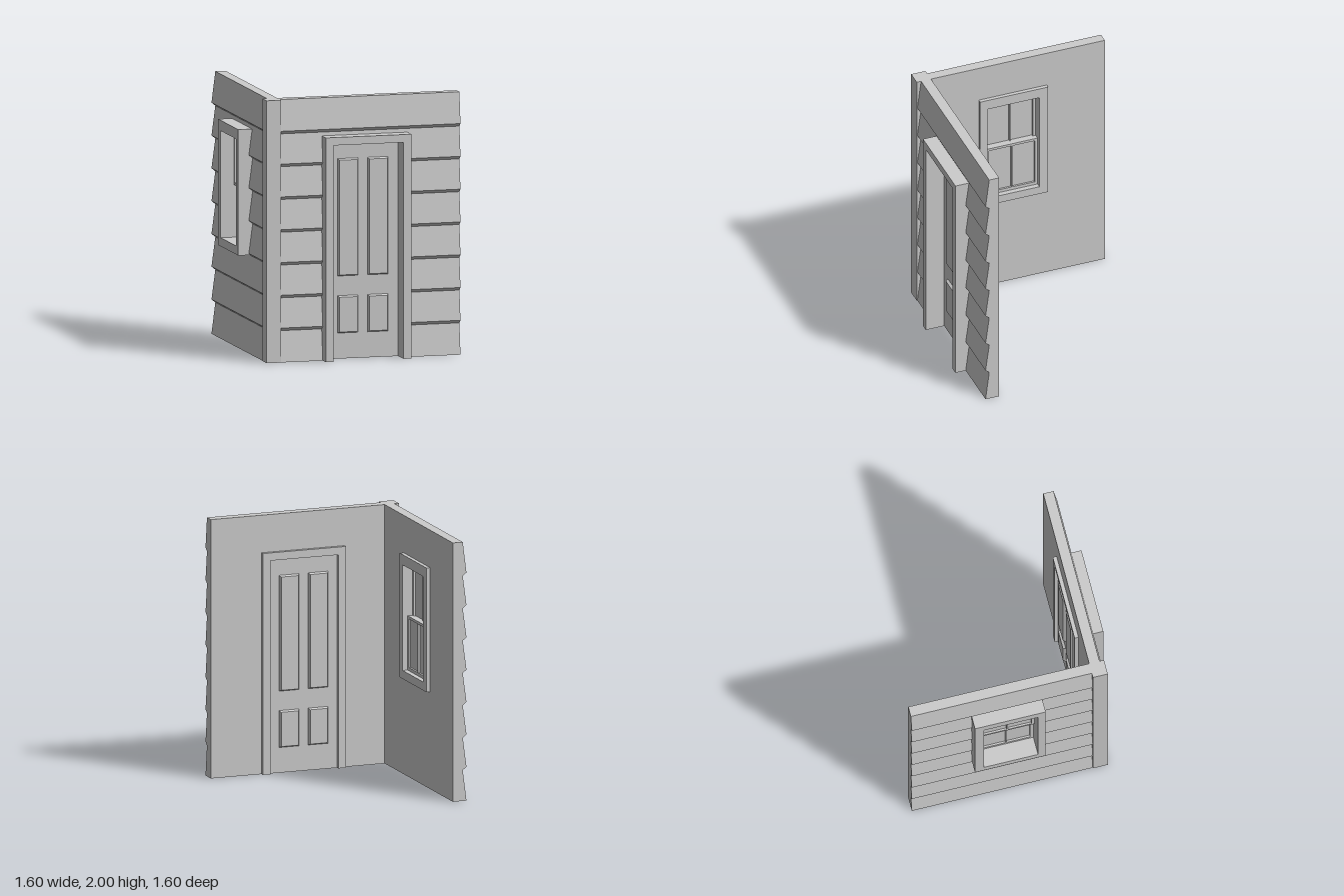
import * as THREE from 'three';

const material = new THREE.MeshStandardMaterial({ color: 0xcccccc });

// Wall space: local x points outward, y is up, u runs along the wall (local z = -u).
function rect(u0, u1, y0, y1, Type = THREE.Shape) {
  const r = new Type();
  r.moveTo(u0, y0);
  r.lineTo(u1, y0);
  r.lineTo(u1, y1);
  r.lineTo(u0, y1);
  r.closePath();
  return r;
}

function addMesh(parent, name, geometry) {
  const mesh = new THREE.Mesh(geometry, material);
  mesh.name = name;
  parent.add(mesh);
  return mesh;
}

// Flat outline in (u, y), given thickness from depth d0 to d1
function plate(parent, name, shape, d0, d1, bevel = 0) {
  const geometry = new THREE.ExtrudeGeometry(shape, {
    depth: d1 - d0, bevelEnabled: bevel > 0, bevelSegments: 1,
    bevelThickness: bevel * 2, bevelSize: bevel, bevelOffset: -bevel,
  });
  geometry.translate(0, 0, d0);
  geometry.rotateY(Math.PI / 2);
  return addMesh(parent, name, geometry);
}

// Clapboard wall section: saw-tooth profile cut to y0..y1, drawn out from u0 to u1
const BOARD = 0.25, LIP = 0.11, TOP = 0.08;
const knots = [[LIP, 0]];
for (let i = 1; i < 8; i++) knots.push([TOP, i * BOARD - 0.012], [LIP, i * BOARD + 0.012]);
knots.push([TOP, 2]);

function depthAt(y) {
  const i = Math.max(1, knots.findIndex((k) => k[1] >= y));
  const [a, b] = [knots[i - 1], knots[i]];
  return a[0] + (b[0] - a[0]) * (y - a[1]) / (b[1] - a[1]);
}

function siding(parent, u0, u1, y0, y1) {
  const points = [[0, y0], [depthAt(y0), y0],
    ...knots.filter((k) => k[1] > y0 && k[1] < y1), [depthAt(y1), y1], [0, y1]];
  const shape = new THREE.Shape(points.map(([d, y]) => new THREE.Vector2(d, y)));
  const geometry = new THREE.ExtrudeGeometry(shape, { depth: u1 - u0, bevelEnabled: false });
  geometry.translate(0, 0, -u1);
  addMesh(parent, 'siding', geometry);
}

function doorWall() {
  const wall = new THREE.Group();
  wall.name = 'doorWall';
  siding(wall, -0.607, -0.25, 0, 1.68);
  siding(wall, 0.36, 0.8, 0, 1.68);
  siding(wall, -0.607, 0.8, 1.68, 2);

  // Door surround, open at the floor
  const outline = [[-0.28, 0], [-0.22, 0], [-0.22, 1.65], [0.33, 1.65],
    [0.33, 0], [0.39, 0], [0.39, 1.71], [-0.28, 1.71]];
  plate(wall, 'doorFrame',
    new THREE.Shape(outline.map(([u, y]) => new THREE.Vector2(u, y))), -0.03, 0.193);

  // Door with panels raised on both faces
  plate(wall, 'door', rect(-0.22, 0.33, 0, 1.65), -0.005, 0.045);
  for (const u of [-0.145, 0.09]) {
    for (const [y0, y1] of [[0.195, 0.48], [0.63, 1.525]]) {
      plate(wall, 'doorPanel', rect(u, u + 0.16, y0, y1), -0.005, 0.045, 0.01);
    }
  }
  wall.rotation.y = -Math.PI / 2;
  wall.position.z = 0.607;
  return wall;
}

function windowWall() {
  const wall = new THREE.Group();
  wall.name = 'windowWall';
  siding(wall, -0.8, -0.3, 0, 2);
  siding(wall, 0.19, 0.607, 0, 2);
  siding(wall, -0.3, 0.19, 0, 0.78);
  siding(wall, -0.3, 0.19, 1.67, 2);

  // Window surround
  const frame = rect(-0.33, 0.22, 0.75, 1.71);
  frame.holes.push(rect(-0.26, 0.16, 0.815, 1.63, THREE.Path));
  plate(wall, 'windowFrame', frame, -0.03, 0.193);

  // Two sashes, the upper one set further out
  for (const [name, y0, y1, p0, p1, d] of [
    ['lowerSash', 0.815, 1.235, 0.84, 1.215, 0.01],
    ['upperSash', 1.215, 1.63, 1.235, 1.605, 0.05]]) {
    const sash = rect(-0.26, 0.16, y0, y1);
    for (const [u0, u1] of [[-0.237, -0.058], [-0.048, 0.135]]) {
      sash.holes.push(rect(u0, u1, p0, p1, THREE.Path));
    }
    plate(wall, name, sash, d, d + 0.04);
    plate(wall, 'windowPane', rect(-0.25, 0.15, y0 + 0.01, y1 - 0.01), d + 0.015, d + 0.025);
  }
  wall.rotation.y = Math.PI;
  wall.position.x = -0.607;
  return wall;
}

export function createModel() {
  const model = new THREE.Group();
  model.name = 'houseCorner';
  model.add(doorWall(), windowWall());

  // Square post where the walls meet
  const post = addMesh(model, 'cornerPost', new THREE.BoxGeometry(0.115, 2, 0.115));
  post.position.set(-0.6645, 1, 0.6645);
  return model;
}
